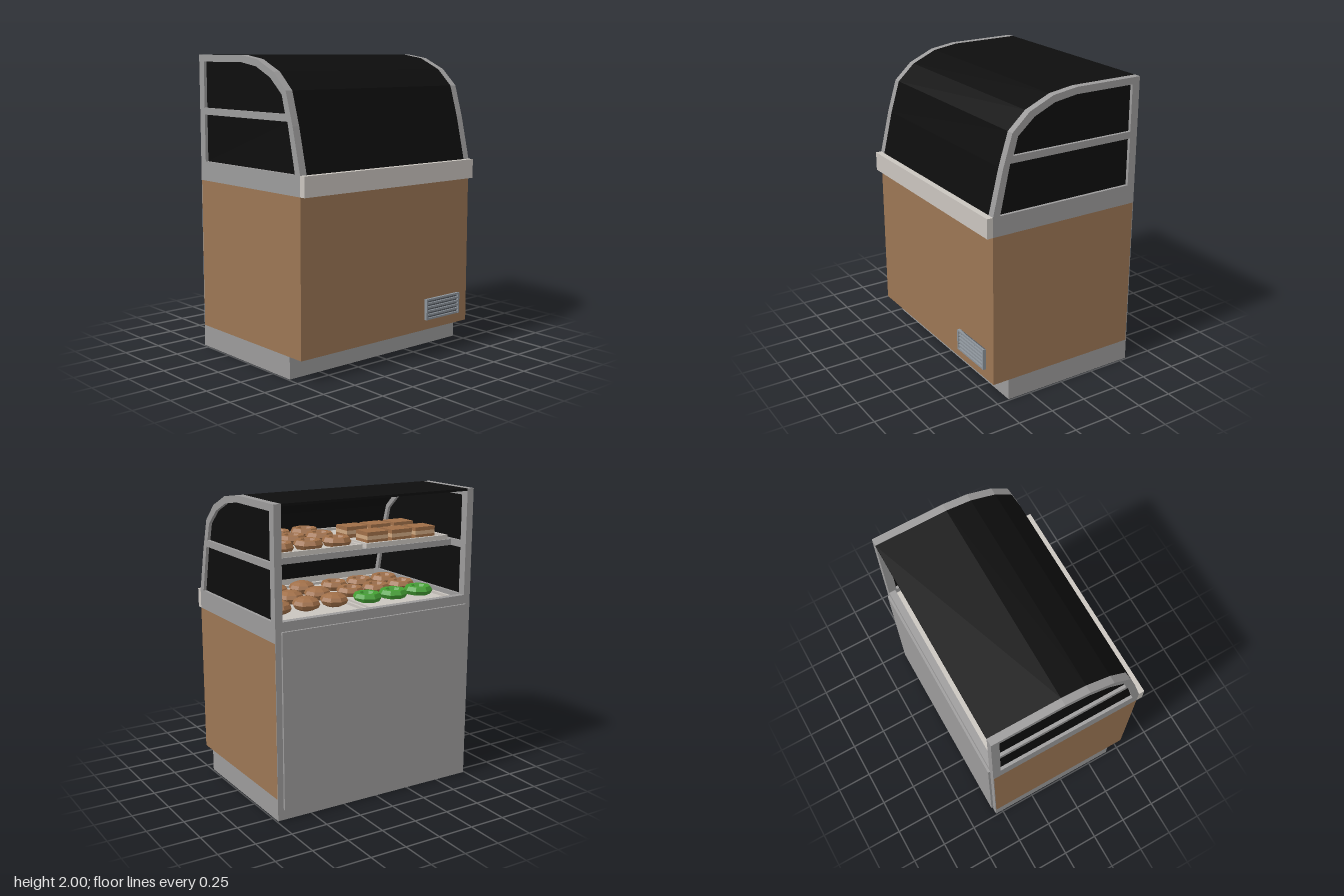
import * as THREE from 'three';

const mat = (name, color, extra = {}) => {
  const m = new THREE.MeshStandardMaterial({ color, ...extra });
  m.name = name;
  return m;
};

export function createModel() {
  const root = new THREE.Group();
  root.name = 'bakeryDisplayCase';

  const grey = mat('greyMetal', 0x9c9b9b);
  const wood = mat('woodPanel', 0x9c7654);
  const pale = mat('paleTrim', 0xcac5bf);
  const glass = mat('darkGlass', 0x0d0d0d, { side: THREE.DoubleSide });
  const steel = mat('ventSteel', 0x8d949b);
  const shade = mat('ventShade', 0x555a60);
  const green = mat('greenIcing', 0x44a033, { flatShading: true });
  const brown = mat('brownPastry', 0xa06f48, { flatShading: true });
  const bread = mat('bread', 0xcfa982, { flatShading: true });

  const add = (name, geo, material, parent = root) => {
    const m = new THREE.Mesh(geo, material);
    m.name = name;
    parent.add(m);
    return m;
  };
  // Box given by its minimum and maximum on each axis
  const box = (name, material, [x0, x1], [y0, y1], [z0, z1], parent) => {
    const m = add(name, new THREE.BoxGeometry(x1 - x0, y1 - y0, z1 - z0), material, parent);
    m.position.set((x0 + x1) / 2, (y0 + y1) / 2, (z0 + z1) / 2);
    return m;
  };
  const vecs = (pts) => pts.map(([x, y]) => new THREE.Vector2(x, y));
  const extrude = (shape, depth) => new THREE.ExtrudeGeometry(shape, { depth, bevelEnabled: false });

  // Cabinet
  box('plinth', grey, [-0.55, 0.41], [0, 0.145], [-0.74, 0.74]);
  box('cabinetBody', wood, [-0.55, 0.525], [0.145, 1.16], [-0.74, 0.74]);
  box('backFrame', grey, [-0.555, -0.55], [0, 1.16], [-0.74, 0.74]);
  box('backPanel', grey, [-0.57, -0.555], [0.07, 1.23], [-0.7, 0.7]);
  box('frontBumper', pale, [0.525, 0.566], [1.16, 1.29], [-0.74, 0.74]);
  box('backSill', grey, [-0.555, -0.51], [1.16, 1.29], [-0.69, 0.69]);
  box('deck', pale, [-0.51, 0.525], [1.16, 1.24], [-0.69, 0.69]);

  // Curved outline shared by the end frames and the canopy glass
  const curve = [[0.525, 1.29], [0.455, 1.58], [0.39, 1.79], [0.27, 1.9], [0.1, 1.975], [-0.07, 2], [-0.555, 2]];
  const lowerPane = [[-0.5, 1.29], [0.475, 1.29], [0.405, 1.605], [-0.5, 1.605]];
  const upperPane = [[-0.5, 1.65], [0.383, 1.65], [0.35, 1.765], [0.235, 1.865], [0.09, 1.93], [-0.07, 1.955], [-0.5, 1.955]];

  const frameShape = new THREE.Shape(vecs([[-0.555, 1.16], [0.525, 1.16], ...curve]));
  for (const pane of [lowerPane, upperPane]) frameShape.holes.push(new THREE.Path(vecs(pane)));
  for (const [side, z] of [['left', 0.69], ['right', -0.74]]) {
    add(side + 'EndFrame', extrude(frameShape, 0.05), grey).position.z = z;
    for (const pane of [lowerPane, upperPane]) {
      add(side + 'EndGlass', extrude(new THREE.Shape(vecs(pane)), 0.008), glass).position.z = z + 0.021;
    }
  }

  // Canopy glass: the curve thickened inward
  const outer = vecs(curve);
  const inner = outer.map((p, i) => {
    const a = outer[Math.max(i - 1, 0)], b = outer[Math.min(i + 1, outer.length - 1)];
    const d = b.clone().sub(a).normalize();
    return new THREE.Vector2(p.x - d.y * 0.015, p.y + d.x * 0.015);
  });
  add('canopyGlass', extrude(new THREE.Shape([...outer, ...inner.reverse()]), 1.38), glass).position.z = -0.69;

  // Vent grille
  const vent = new THREE.Group();
  vent.name = 'vent';
  root.add(vent);
  box('ventBack', shade, [0.525, 0.533], [0.22, 0.36], [-0.645, -0.33], vent);
  for (const z of [-0.65, -0.34]) box('ventPost', steel, [0.525, 0.547], [0.215, 0.36], [z, z + 0.012], vent);
  for (let i = 0; i < 6; i++) {
    const y = 0.215 + i * 0.0264;
    box('ventSlat', steel, [0.525, 0.545], [y, y + 0.013], [-0.645, -0.333], vent);
  }

  // Shelf with its front rail
  box('shelf', grey, [-0.4, 0.3], [1.605, 1.645], [-0.69, 0.69]);

  // Shallow tray with a raised rim
  const tray = (x0, x1, y, zc) => {
    const g = new THREE.Group();
    g.name = 'tray';
    root.add(g);
    const z0 = zc - 0.325, z1 = zc + 0.325, t = 0.02, top = y + 0.03;
    box('trayBase', pale, [x0, x1], [y, y + 0.012], [z0, z1], g);
    for (const x of [x0, x1 - t]) box('trayRim', pale, [x, x + t], [y, top], [z0, z1], g);
    for (const z of [z0, z1 - t]) box('trayRim', pale, [x0 + t, x1 - t], [y, top], [z, z + t], g);
  };
  for (const zc of [-0.34, 0.34]) {
    tray(-0.47, 0.4, 1.24, zc);
    tray(-0.39, 0.28, 1.645, zc);
  }

  // Pastries
  const ring = new THREE.TorusGeometry(0.067, 0.032, 6, 8).rotateX(Math.PI / 2);
  const bun = new THREE.SphereGeometry(0.095, 8, 6).scale(1, 0.5, 1);
  const row = (name, geo, material, x, y, zc) => {
    for (const k of [-1, 0, 1]) add(name, geo, material).position.set(x, y, zc + k * 0.21);
  };
  row('greenDoughnut', ring, green, -0.23, 1.284, 0.34);
  row('brownDoughnut', ring, brown, -0.02, 1.284, 0.34);
  row('brownDoughnut', ring, brown, 0.19, 1.284, 0.34);
  for (const x of [-0.23, -0.02, 0.19]) row('bun', bun, brown, x, 1.295, -0.34);
  for (const x of [-0.26, -0.05, 0.15]) row('shelfDoughnut', ring, brown, x, 1.689, -0.34);

  // Layered cake slices on the shelf
  for (const x of [-0.25, 0.0]) {
    for (const k of [-1, 0, 1]) {
      const z = 0.34 + k * 0.19;
      ['brown', 'bread', 'brown'].forEach((layer, i) => {
        const y = 1.657 + i * 0.025;
        box('cakeLayer', layer === 'brown' ? brown : bread, [x - 0.07, x + 0.07], [y, y + 0.025], [z - 0.08, z + 0.08]);
      });
    }
  }

  return root;
}
